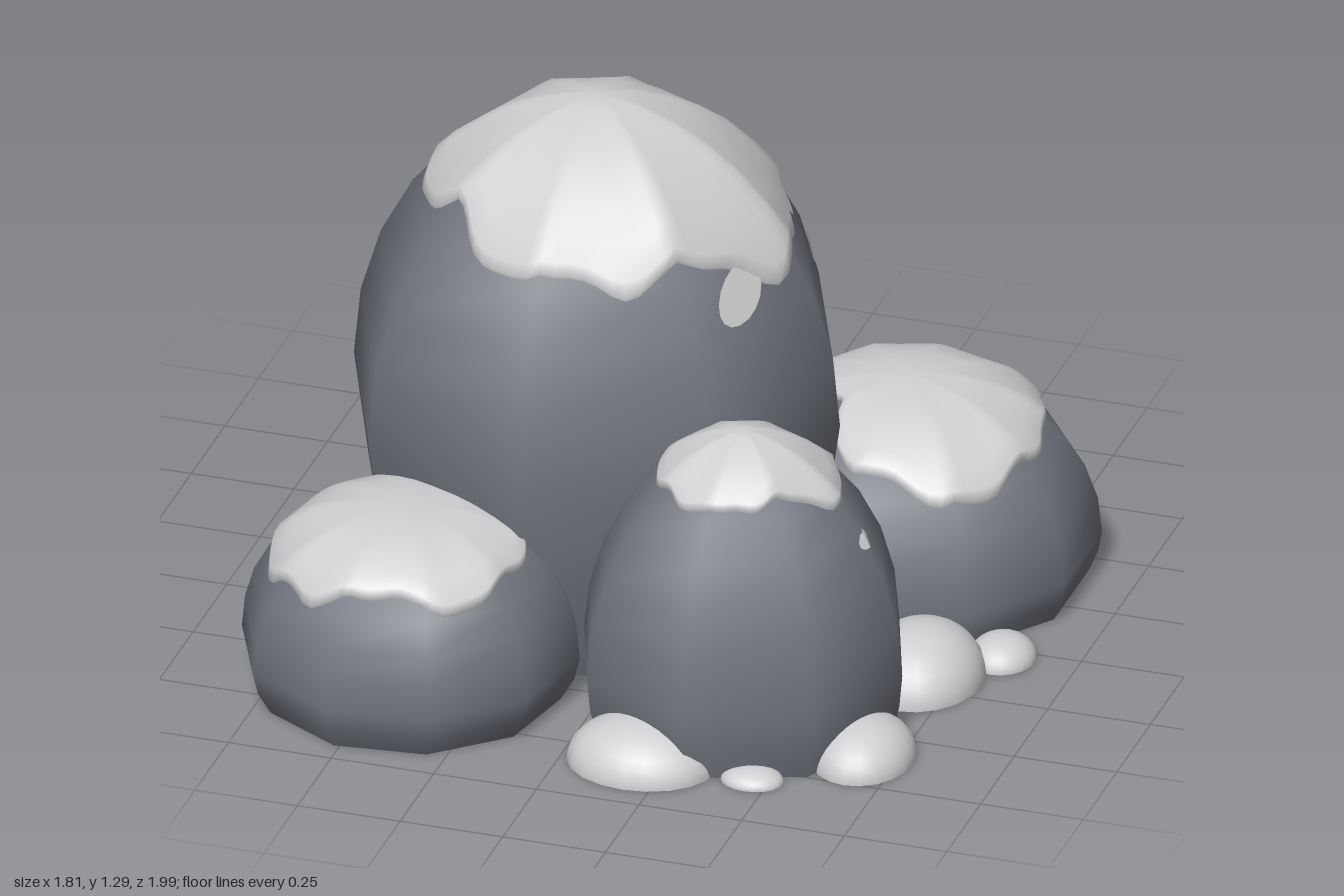
import * as THREE from 'three';

const rockMat = new THREE.MeshStandardMaterial({ color: 0x70747d, side: THREE.DoubleSide });
rockMat.name = 'slate grey';
const snowMat = new THREE.MeshStandardMaterial({ color: 0xd0d0d2, side: THREE.DoubleSide });
snowMat.name = 'snow white';
const rad = THREE.MathUtils.degToRad;

// Egg-shaped outline: flares from the foot to the belly, then rounds off to the top
function eggProfile(foot, radius, belly, height, power) {
  const points = [];
  for (const t of [0, 0.5]) points.push([foot + (radius - foot) * Math.sin(t * Math.PI / 2), belly * t]);
  for (let i = 0; i <= 7; i++) {
    const a = i / 7 * Math.PI / 2;
    points.push([radius * Math.cos(a) ** power, belly + (height - belly) * Math.sin(a)]);
  }
  return points;
}

// Loft closed rings, bottom to top; the last ring is a single point
function loft(rings, cols, pointAt) {
  const pos = [], index = [];
  for (let i = 0; i < rings; i++) for (let j = 0; j < cols; j++) pos.push(...pointAt(i, j));
  for (let i = 0; i < rings - 1; i++) {
    for (let j = 0; j < cols; j++) {
      const a = i * cols + j, b = i * cols + (j + 1) % cols;
      index.push(a, a + cols, b);
      if (i < rings - 2) index.push(b, a + cols, b + cols);
    }
  }
  const g = new THREE.BufferGeometry();
  g.setAttribute('position', new THREE.Float32BufferAttribute(pos, 3));
  g.setIndex(index);
  g.computeVertexNormals();
  return g;
}

// Make the normals of the top point straight up
function smoothTop(g, cols) {
  const n = g.attributes.normal;
  for (let j = n.count - cols; j < n.count; j++) n.setXYZ(j, 0, 1, 0);
  return g;
}

// Radius of a unit regular polygon at an angle
function polygon(a, { sides, phase }) {
  const step = 2 * Math.PI / sides;
  const d = (((a - rad(phase)) % step) + step) % step - step / 2;
  return Math.cos(step / 2) / Math.cos(d);
}

// Height of the upper slope at a radius, and radius of the outline at a height
function heightAt(profile, r) {
  for (let i = profile.length - 1; i > 0; i--) {
    const [r1, y1] = profile[i], [r0, y0] = profile[i - 1];
    if (r <= r0) return y1 + (y0 - y1) * (r - r1) / (r0 - r1);
  }
  return 0;
}
function radiusAt(profile, y) {
  for (let i = 1; i < profile.length; i++) {
    const [r0, y0] = profile[i - 1], [r1, y1] = profile[i];
    if (y <= y1) return r0 + (r1 - r0) * (y - y0) / (y1 - y0);
  }
  return 0;
}

function rockGeometry(b) {
  const g = loft(b.profile.length, b.sides, (i, j) => {
    const [r, y] = b.profile[i], a = rad(b.phase) + j / b.sides * Math.PI * 2;
    return [r * Math.cos(a), y, r * Math.sin(a)];
  });
  return smoothTop(g, b.sides);
}

// Snow follows the rock slightly outside it, and its rim tucks under the surface.
// edge: snow radius every 45 degrees from +x toward +z
function capGeometry(b, edge) {
  const cols = 80, fractions = [1.01, 1, 0.96, 0.85, 0.7, 0.55, 0.4, 0.2, 0];
  const g = loft(fractions.length, cols, (i, j) => {
    const a = j / cols * Math.PI * 2, u = j / cols * 8, k = Math.floor(u);
    const s = THREE.MathUtils.smoothstep(u - k, 0, 1);
    const wobble = 1 + 0.025 * Math.sin(a * 7 + 1) + 0.015 * Math.sin(a * 13);
    const r = THREE.MathUtils.lerp(edge[k], edge[(k + 1) % 8], s) * wobble * fractions[i];
    const y = heightAt(b.profile, r / polygon(a, b));
    const lift = i === 0 ? -0.012 : i === 1 ? 0.008 : 0.018;
    const out = r + lift * Math.min(1, r / b.profile[2][0] * 1.1);
    return [out * Math.cos(a), y + lift * 0.8, out * Math.sin(a)];
  });
  return smoothTop(g, cols);
}

// Small thin snow patch lying on the rock face
function patchGeometry(b, [deg, height, w, h]) {
  const r0 = radiusAt(b.profile, height);
  return loft(3, 16, (i, j) => {
    const t = j / 16 * Math.PI * 2, s = 1 - i / 2;
    const a = rad(deg) - Math.cos(t) * s * w / r0;
    const y = height + s * (Math.sin(t) * h + Math.cos(t) * w * 0.25);
    const r = radiusAt(b.profile, y) * polygon(a, b) + 0.008;
    return [r * Math.cos(a), y, r * Math.sin(a)];
  });
}

export function createModel() {
  const model = new THREE.Group();
  model.name = 'snowyBoulders';
  const add = (parent, geometry, material, name) => {
    const mesh = new THREE.Mesh(geometry, material);
    mesh.name = name;
    parent.add(mesh);
    return mesh;
  };

  // One boulder: an open-bottomed rock, its snow cap and any loose snow patches
  const addBoulder = (name, x, z, sides, phase, profile, edge, patches = []) => {
    const b = { sides, phase, profile };
    const group = new THREE.Group();
    group.name = name;
    group.position.set(x, 0, z);
    add(group, rockGeometry(b), rockMat, 'rock');
    add(group, capGeometry(b, edge), snowMat, 'snowCap');
    for (const patch of patches) add(group, patchGeometry(b, patch), snowMat, 'snowPatch');
    model.add(group);
  };
  addBoulder('mainBoulder', -0.18, 0, 8, 0, eggProfile(0.47, 0.592, 0.52, 1.28, 1.13),
    [0.46, 0.41, 0.42, 0.37, 0.4, 0.32, 0.33, 0.45],
    [[25, 0.93, 0.085, 0.055], [-36, 0.94, 0.04, 0.025], [-36, 0.81, 0.05, 0.022]]);
  addBoulder('backBoulder', -0.38, -0.61, 10, 18, eggProfile(0.365, 0.395, 0.1, 0.535, 0.9),
    [0.27, 0.15, 0.13, 0.19, 0.27, 0.26, 0.24, 0.28]);
  addBoulder('leftBoulder', 0.47, -0.31, 10, 18, eggProfile(0.425, 0.455, 0.1, 0.505, 0.9),
    [0.32, 0.36, 0.31, 0.17, 0.19, 0.25, 0.3, 0.33]);
  addBoulder('frontRightBoulder', -0.44, 0.59, 10, -6, eggProfile(0.355, 0.4, 0.11, 0.46, 0.72),
    [0.27, 0.31, 0.29, 0.33, 0.31, 0.3, 0.3, 0.265]);
  addBoulder('frontLeftBoulder', 0.33, 0.47, 8, 3, eggProfile(0.37, 0.395, 0.16, 0.72, 1.2),
    [0.23, 0.18, 0.2, 0.2, 0.19, 0.13, 0.22, 0.22],
    [[3, 0.5, 0.025, 0.018], [-40, 0.31, 0.014, 0.01]]);

  // Snow mounds on the ground: x, z, half width, height, half depth
  const mounds = [
    [-0.78, -0.61, 0.13, 0.08, 0.15], [-0.11, -0.88, 0.12, 0.09, 0.12],
    [0.67, 0.19, 0.15, 0.135, 0.18], [0.82, 0.04, 0.08, 0.06, 0.09],
    [0.67, 0.61, 0.12, 0.1, 0.15], [0.19, 0.79, 0.18, 0.115, 0.15],
    [0.46, 0.8, 0.075, 0.035, 0.06],
  ];
  const dome = new THREE.SphereGeometry(1, 20, 8, 0, Math.PI * 2, 0, Math.PI / 2);
  for (const [x, z, w, h, d] of mounds) {
    const mound = add(model, dome, snowMat, 'snowMound');
    mound.position.set(x, 0, z);
    mound.scale.set(w, h, d);
  }
  return model;
}
